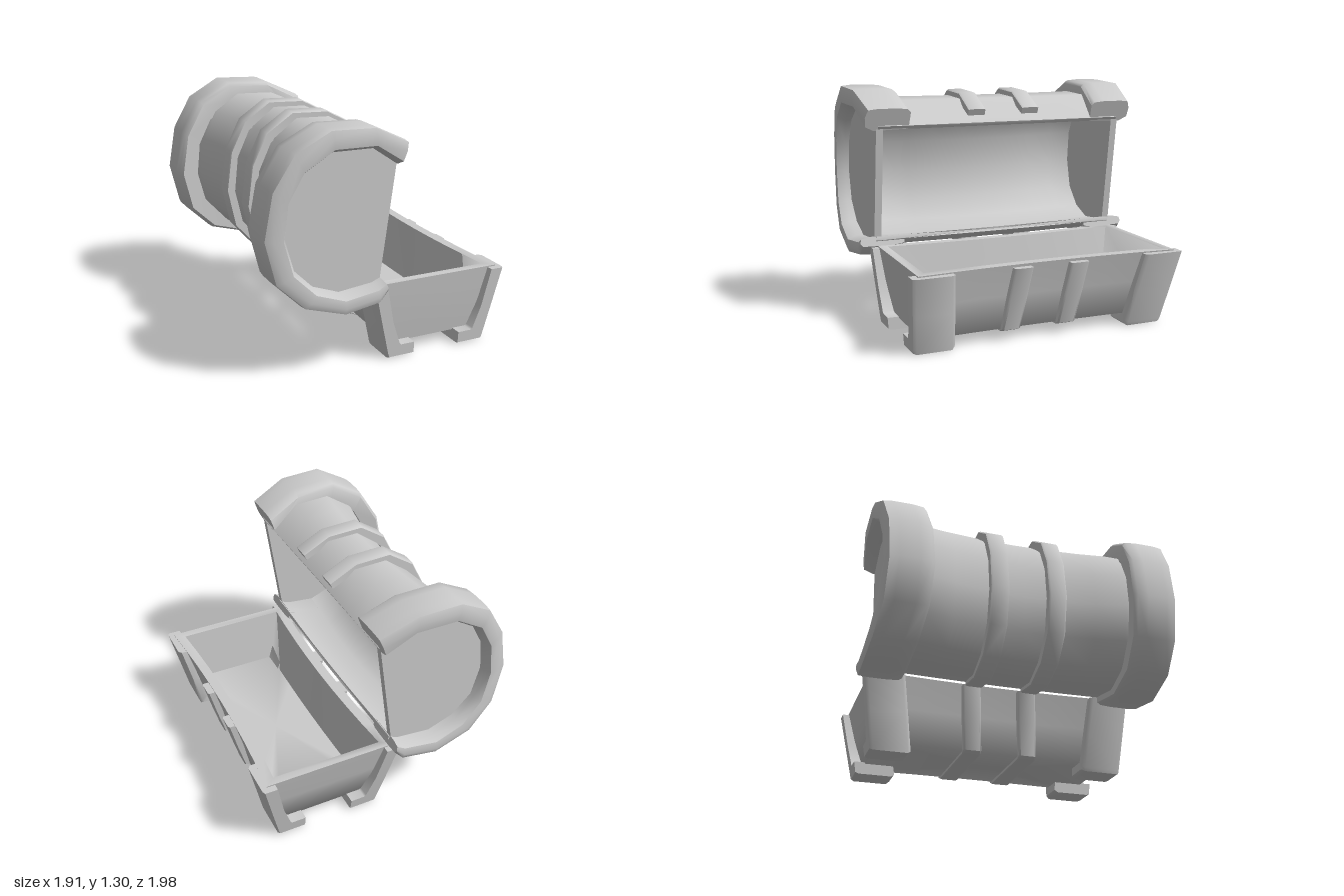
import * as THREE from 'three';
import { toCreasedNormals } from 'three/addons/utils/BufferGeometryUtils.js';

const material = new THREE.MeshStandardMaterial({ color: 0xcccccc });
const lerp = THREE.MathUtils.lerp;

// Closed skin over a row of rings (each a loop of [x, y, z]), with both ends filled.
function loft(rings, crease = 0.9) {
  const n = rings[0].length, pos = rings.flat(2), idx = [];
  for (let r = 0; r < rings.length - 1; r++) {
    for (let i = 0; i < n; i++) {
      const a = r * n + i, b = r * n + (i + 1) % n;
      idx.push(a, b, b + n, a, b + n, a + n);
    }
  }
  [0, rings.length - 1].forEach((r, end) => {
    const c = pos.length / 3;
    for (let k = 0; k < 3; k++) pos.push(rings[r].reduce((s, p) => s + p[k], 0) / n);
    for (let i = 0; i < n; i++) {
      const a = r * n + i, b = r * n + (i + 1) % n;
      idx.push(...(end ? [a, b, c] : [b, a, c]));
    }
  });
  // turn the faces outward by the sign of the enclosed volume
  const at = i => new THREE.Vector3().fromArray(pos, i * 3);
  let volume = 0;
  for (let i = 0; i < idx.length; i += 3) {
    volume += at(idx[i]).dot(at(idx[i + 1]).cross(at(idx[i + 2])));
  }
  if (volume < 0) idx.reverse();
  const geo = new THREE.BufferGeometry();
  geo.setAttribute('position', new THREE.Float32BufferAttribute(pos, 3));
  geo.setIndex(idx);
  return toCreasedNormals(geo, crease);
}

// Band following two profiles: cross is a loop of [z, t], where t blends outer to inner.
function band(outer, inner, cross, adjust = p => p) {
  return loft(outer.map((o, i) => cross.map(([z, t]) =>
    adjust([lerp(o[0], inner[i][0], t), lerp(o[1], inner[i][1], t), z]))));
}

function add(group, name, geo) {
  const mesh = new THREE.Mesh(geo, material);
  mesh.name = name;
  group.add(mesh);
}

// Lid profiles (x, y), from the upper lip round the back to the hinge
const LID_OUT = [[0.08, 1.195], [-0.12, 1.29], [-0.36, 1.3], [-0.545, 1.2], [-0.655, 1.02], [-0.7, 0.78],
  [-0.645, 0.55], [-0.5, 0.41], [-0.28, 0.345], [-0.08, 0.37], [-0.03, 0.425]];
const LID_IN = [[0.04, 1.08], [-0.11, 1.18], [-0.34, 1.185], [-0.49, 1.09], [-0.565, 0.95], [-0.585, 0.77],
  [-0.54, 0.6], [-0.43, 0.49], [-0.28, 0.435], [-0.09, 0.455], [-0.045, 0.475]];
// the barrel thins to a narrow upper lip, and the straps end just above it
const BARREL_OUT = [[0.075, 1.125], ...LID_OUT.slice(1)];
const STRAP_OUT = LID_OUT.slice(0, -1);
const STRAP_IN = [[0.04, 1.125], ...LID_IN.slice(1)];

function buildLid() {
  const lid = new THREE.Group();
  lid.name = 'lid';
  lid.position.z = 0.01;

  // hollow barrel, pinched at mid length
  const zs = [-0.73, -0.56, -0.4, -0.2, 0, 0.2, 0.4, 0.56, 0.73];
  const cross = [...zs.map(z => [z, 0.6]), ...zs.slice().reverse().map(z => [z, 1.03])];
  const squeeze = s => ([x, y, z]) => [0.03 + (x - 0.03) * s(z), y, z];
  const waist = z => 0.78 + 0.12 * Math.min(1, (z / 0.56) ** 2);
  add(lid, 'lidBarrel', band(BARREL_OUT, LID_IN, cross, squeeze(waist)));

  for (const s of [1, -1]) {
    // heavy end hoops, bowed outward at their middle
    const hoop = [[0.55, 1], [0.55, 0.2], [0.57, 0.05], [0.63, 0], [0.74, 0], [0.79, 0.05],
      [0.803, 0.4], [0.795, 0.85], [0.745, 1.05]];
    const bow = ([x, y, z]) => [x, y, s * (z + 0.038 * Math.max(0, 1 - ((x + 0.3) / 0.38) ** 2))];
    add(lid, 'lidHoop', band(LID_OUT, LID_IN, hoop, bow));

    // flat end panels
    add(lid, 'lidEndPanel', loft([0.7, 0.74].map(z =>
      LID_OUT.map((o, i) => [lerp(o[0], LID_IN[i][0], 0.97), lerp(o[1], LID_IN[i][1], 0.97), z * s]))));

    // narrow straps, stopping short of the hinge
    const strap = [[0.113, 0.8], [0.113, 0.36], [0.123, 0.3], [0.203, 0.3], [0.213, 0.36], [0.213, 0.8]];
    add(lid, 'lidStrap', band(STRAP_OUT, STRAP_IN, strap.map(([z, t]) => [z * s, t]),
      squeeze(() => 0.85)));
  }
  return lid;
}

// Rectangular loop with the long sides drawn in at the middle
function tubRing(hx, hz, y, pinch) {
  const steps = [-1, -0.75, -0.5, -0.25, 0, 0.25, 0.5, 0.75, 1];
  const side = steps.map(k => [hx - pinch * (1 - k * k), y, hz * k]);
  return [...side, ...side.map(([x, , z]) => [-x, y, -z])].map(lean);
}

// The base leans slightly along its length towards the bottom
const lean = ([x, y, z]) => [x, y, z + 0.05 * (0.42 - y)];

function buildBase() {
  const base = new THREE.Group();
  base.name = 'base';
  base.position.x = 0.315;

  // open tub with sloping walls
  add(base, 'tub', loft([
    tubRing(0.262, 0.665, 0.062, 0.015),
    tubRing(0.317, 0.705, 0.25, 0.03),
    tubRing(0.368, 0.735, 0.425, 0.033),
    tubRing(0.31, 0.688, 0.425, 0.03),
    tubRing(0.25, 0.648, 0.1, 0.015),
  ], 1.4));

  for (const s of [1, -1]) {
    // straps running down both sides and underneath
    const out = [[0.372, 0.41], [0.325, 0.23], [0.277, 0.06], [0.24, 0.045]];
    const inn = [[0.315, 0.41], [0.275, 0.23], [0.235, 0.085], [0.22, 0.08]];
    const loop = p => [...p, ...p.slice().reverse().map(([x, y]) => [-x, y])];
    const strap = [[0.11, 1], [0.11, 0.12], [0.12, 0], [0.203, 0], [0.213, 0.12], [0.213, 1]];
    add(base, 'baseStrap', band(loop(out), loop(inn), strap.map(([z, t]) => [z * s, t]),
      ([x, y, z]) => [x, y, z + 0.1 * (0.42 - y)]));

    // corner brackets that turn under to form feet
    const footOut = [[0.398, 0.418], [0.348, 0.21], [0.303, 0.02], [0.296, 0], [0.14, 0]];
    const footIn = [[0.32, 0.418], [0.275, 0.21], [0.23, 0.08], [0.22, 0.07], [0.14, 0.07]];
    const foot = [[0.545, 1], [0.545, 0.2], [0.565, 0], [0.755, 0], [0.772, 0.1], [0.772, 1]];
    for (const f of [1, -1]) {
      add(base, f > 0 ? 'frontFoot' : 'backFoot', band(footOut, footIn, foot,
        ([x, y, z]) => lean([x * f, y, (z - 0.12 * (0.42 - y)) * s])));
    }
  }
  return base;
}

export function createModel() {
  const chest = new THREE.Group();
  chest.name = 'openChest';
  chest.add(buildBase(), buildLid());
  chest.rotation.y = -0.4115;
  const model = new THREE.Group();
  model.add(chest);
  return model;
}
